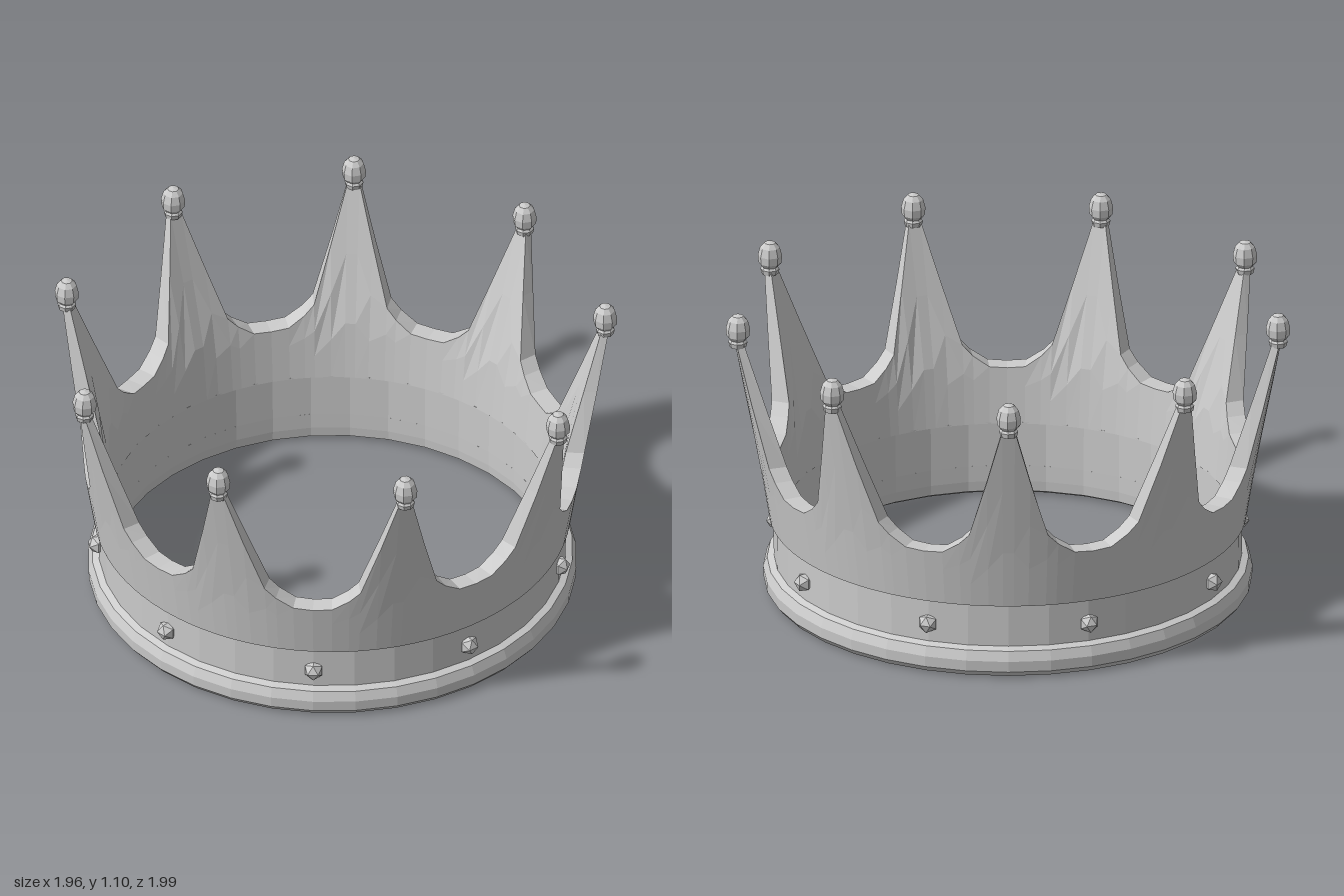
import * as THREE from 'three';

const POINTS = 9;
const STEP = (Math.PI * 2) / POINTS;
const CENTRE_X = 0.027;

// piecewise linear lookup through [input, output] pairs
function lerpTable(table, v) {
  for (let i = 1; i < table.length; i++) {
    const [a, fa] = table[i - 1], [b, fb] = table[i];
    if (v <= b) return fa + ((fb - fa) * (v - a)) / (b - a);
  }
  return table[table.length - 1][1];
}

const OUTER = [[0.27, 0.843], [0.5, 0.88], [1.0, 0.978]];
const INNER = [[0.27, 0.787], [0.48, 0.808], [0.6, 0.835], [1.0, 0.952]];
// rim height by angle (degrees) away from a spike's middle
const RIM = [[1.3, 1.0], [4.8, 0.78], [9, 0.56], [11.5, 0.52], [15.5, 0.48], [20, 0.475]];

const polar = (r, t, y) => [-r * Math.cos(t), y, r * Math.sin(t)];

// spiked wall: closed cross-sections swept around the ring
function spikedWallGeometry() {
  const columns = [];
  for (let k = 0; k < POINTS; k++) {
    const base = k * STEP;
    for (const [a, h] of [...RIM].reverse().slice(1)) columns.push([base - THREE.MathUtils.degToRad(a), h]);
    for (const [a, h] of RIM) columns.push([base + THREE.MathUtils.degToRad(a), h]);
  }
  const levels = [0, 0.3, 0.65, 1];
  const positions = [], index = [];
  for (const [t, top] of columns) {
    const ys = levels.map((f) => 0.27 + (top - 0.27) * f);
    for (const y of ys) positions.push(...polar(lerpTable(OUTER, y), t, y));
    for (const y of ys.reverse()) positions.push(...polar(lerpTable(INNER, y), t, y));
  }
  const n = levels.length * 2;
  for (let j = 0; j < columns.length; j++) {
    const next = (j + 1) % columns.length;
    for (let i = 0; i < n; i++) {
      const a = j * n + i, b = j * n + ((i + 1) % n);
      const c = next * n + i, d = next * n + ((i + 1) % n);
      index.push(a, c, d, a, d, b);
    }
  }
  const geometry = new THREE.BufferGeometry();
  geometry.setAttribute('position', new THREE.Float32BufferAttribute(positions, 3));
  geometry.setIndex(index);
  geometry.computeVertexNormals();
  return geometry;
}

function lathe(profile, segments) {
  return new THREE.LatheGeometry(profile.map(([r, y]) => new THREE.Vector2(r, y)), segments);
}

export function createModel() {
  const model = new THREE.Group();
  model.name = 'crown';
  const material = new THREE.MeshStandardMaterial({ color: 0xcccccc, flatShading: true });

  function add(name, geometry, position = [0, 0, 0]) {
    const mesh = new THREE.Mesh(geometry, material);
    mesh.name = name;
    mesh.position.set(position[0] + CENTRE_X, position[1], position[2]);
    model.add(mesh);
    return mesh;
  }

  // rounded foot ring
  add('baseRing', lathe([
    [0.79, 0.012], [0.81, 0], [0.845, 0.004], [0.862, 0.025], [0.864, 0.065],
    [0.85, 0.1], [0.825, 0.11], [0.787, 0.11], [0.787, 0.05], [0.79, 0.012],
  ], 36));

  // recessed band between foot ring and spikes
  add('band', lathe([
    [0.787, 0.105], [0.826, 0.105], [0.828, 0.275], [0.79, 0.275], [0.787, 0.105],
  ], 36));

  add('spikedWall', spikedWallGeometry());

  // egg-shaped pearls on a small collar, one per spike
  const pearl = lathe([
    [0, -0.022], [0.03, -0.02], [0.034, -0.002], [0.028, 0.006], [0.041, 0.022],
    [0.043, 0.05], [0.035, 0.08], [0.02, 0.097], [0, 0.102],
  ], 8);
  // faceted gems, one below each valley
  const gem = new THREE.IcosahedronGeometry(0.036, 0);
  for (let k = 0; k < POINTS; k++) {
    add('pearl' + (k + 1), pearl, polar(0.968, k * STEP, 1.0));
    const t = (k + 0.5) * STEP;
    const jewel = add('gem' + (k + 1), gem, polar(0.832, t, 0.18));
    jewel.rotation.y = t;
  }
  return model;
}
